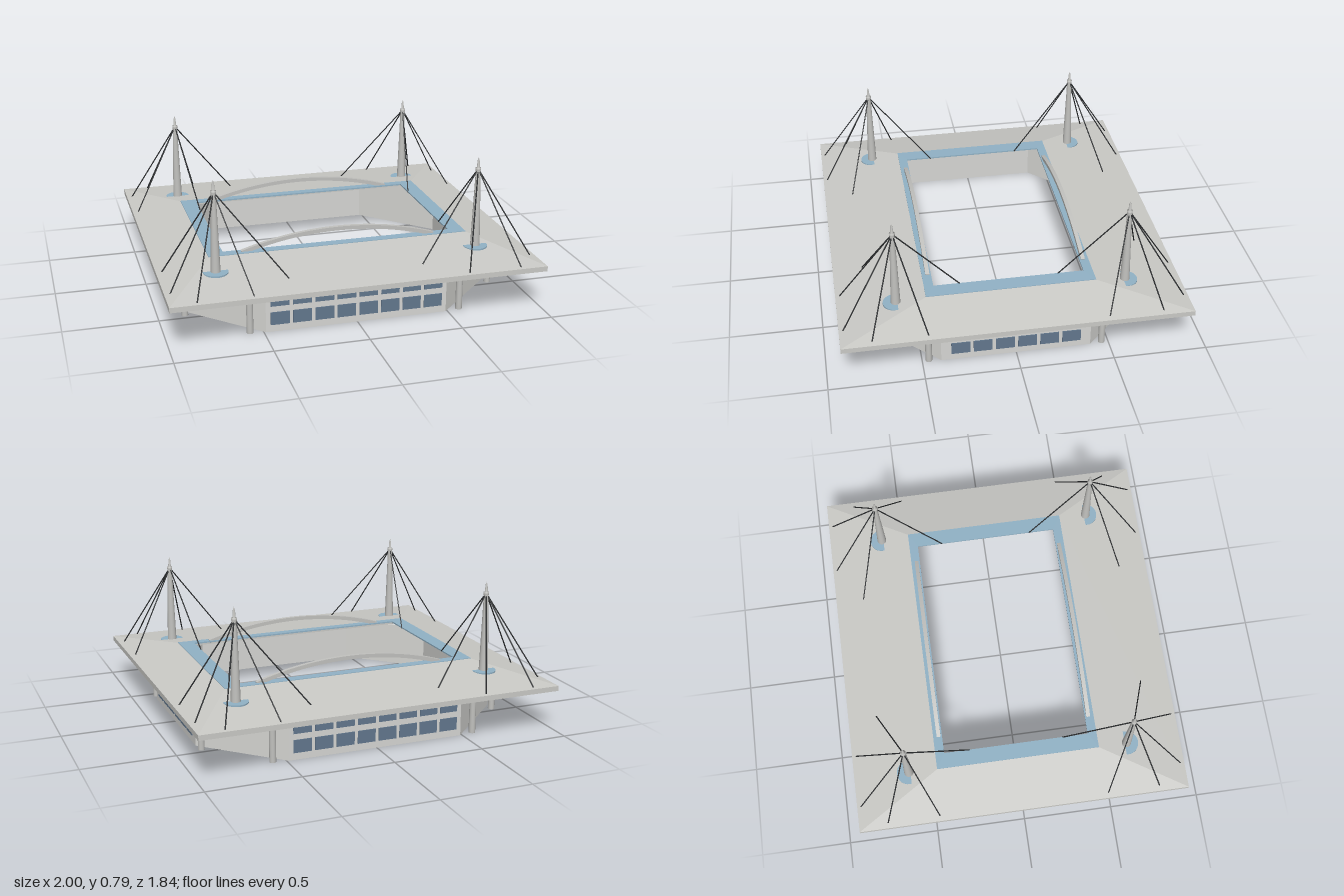
import * as THREE from 'three';

const paint = (name, color) => {
  const m = new THREE.MeshStandardMaterial({ color });
  m.name = name;
  return m;
};

// Lofts a closed cross-section around an outline; each section is [outline, y]
function ringLoft(sections) {
  const pos = [];
  const n = sections[0][0].length;
  for (let s = 0; s < sections.length; s++) {
    const [lo, y0] = sections[s];
    const [hi, y1] = sections[(s + 1) % sections.length];
    for (let c = 0; c < n; c++) {
      const d = (c + 1) % n;
      const p = [[lo[c], y0], [lo[d], y0], [hi[d], y1], [hi[c], y1]];
      for (const i of [0, 1, 2, 0, 2, 3]) pos.push(p[i][0][0], p[i][1], p[i][0][1]);
    }
  }
  const g = new THREE.BufferGeometry();
  g.setAttribute('position', new THREE.Float32BufferAttribute(pos, 3));
  g.computeVertexNormals();
  return g;
}

const rect = (x, z) => [[x, z], [x, -z], [-x, -z], [-x, z]];

// Rectangle with cut corners
const octagon = (x, z, cx, cz) => [
  [x, cz], [x, -cz], [cx, -z], [-cx, -z], [-x, -cz], [-x, cz], [-cx, z], [cx, z],
];

export function createModel() {
  const roofMat = paint('roof grey', 0xcacac6);
  const wallMat = paint('wall grey', 0xd6d6d3);
  const steelMat = paint('steel grey', 0xc2c2bf);
  const glassMat = paint('pale blue glass', 0x91b2c6);
  const windowMat = paint('window blue', 0x62778d);
  const cableMat = paint('cable black', 0x2e3032);

  const model = new THREE.Group();
  model.name = 'stadium';
  const add = (name, geometry, material, parent = model) => {
    const mesh = new THREE.Mesh(geometry, material);
    mesh.name = name;
    parent.add(mesh);
    return mesh;
  };

  // Sloping hipped roof shell with a glazed strip around the opening
  const eave = rect(1, 0.92), ridge = rect(0.72, 0.455), opening = rect(0.635, 0.405);
  add('roof', ringLoft([[eave, 0.23], [eave, 0.258], [ridge, 0.311], [ridge, 0.283]]), roofMat);
  add('roofGlazing', ringLoft([[ridge, 0.306], [ridge, 0.314], [opening, 0.315], [opening, 0.307]]), glassMat);

  // Thin outer wall
  const outer = octagon(0.87, 0.78, 0.49, 0.4);
  const inner = octagon(0.852, 0.762, 0.483, 0.393);
  add('wall', ringLoft([[outer, 0], [outer, 0.25], [inner, 0.25], [inner, 0]]), wallMat);

  // Two rows of windows on each of the four long sides
  const sides = [
    { angle: 0, dist: 0.78, count: 8 },
    { angle: Math.PI / 2, dist: 0.87, count: 6 },
    { angle: Math.PI, dist: 0.78, count: 8 },
    { angle: -Math.PI / 2, dist: 0.87, count: 6 },
  ];
  for (const { angle, dist, count } of sides) {
    const side = new THREE.Group();
    side.name = 'windows';
    side.rotation.y = angle;
    model.add(side);
    for (let i = 0; i < count; i++) {
      for (const [y, h] of [[0.168, 0.054], [0.073, 0.07]]) {
        add('window', new THREE.BoxGeometry(0.1, h, 0.006), windowMat, side)
          .position.set((i - (count - 1) / 2) * 0.1185, y, dist + 0.001);
      }
    }
  }

  // Curved trusses along the long edges of the opening
  const span = 0.54, rise = 0.085, crown = 0.404;
  const R = (span * span + rise * rise) / (2 * rise);
  const half = Math.asin(span / R);
  const arc = new THREE.Shape();
  arc.absarc(0, crown - R, R, Math.PI / 2 - half, Math.PI / 2 + half, false);
  arc.absarc(0, crown - R, R - 0.021, Math.PI / 2 + half, Math.PI / 2 - half, true);
  arc.closePath();
  for (const s of [-1, 1]) {
    const g = new THREE.ExtrudeGeometry(arc, { depth: 0.022, bevelEnabled: false, curveSegments: 24 });
    g.translate(0, 0, s * 0.424 - 0.011);
    add('archTruss', g, steelMat);
  }

  // Tapered mast with a pointed tip
  const mastProfile = [[0, 0.205], [0.026, 0.205], [0.026, 0.29], [0.013, 0.715], [0.015, 0.72],
    [0.015, 0.732], [0.008, 0.734], [0.006, 0.77], [0, 0.79]].map(([r, y]) => new THREE.Vector2(r, y));
  const cableEnds = [
    [0.86, 0.255, 0.9], [0.57, 0.255, 0.9], [0.972, 0.258, 0.76],
    [0.972, 0.258, 0.47], [0.36, 0.276, 0.76], [0.635, 0.308, 0.26],
  ];
  const up = new THREE.Vector3(0, 1, 0);

  for (const sx of [-1, 1]) {
    for (const sz of [-1, 1]) {
      const corner = new THREE.Group();
      corner.name = 'cornerSupport';
      model.add(corner);
      const mx = sx * 0.712, mz = sz * 0.613;

      add('mast', new THREE.LatheGeometry(mastProfile, 16), steelMat, corner).position.set(mx, 0, mz);
      add('mastCollar', new THREE.CylinderGeometry(0.067, 0.067, 0.02, 24), glassMat, corner)
        .position.set(mx, 0.284, mz);

      // Stay cables from the mast head to the roof
      const head = new THREE.Vector3(mx, 0.725, mz);
      for (const [x, y, z] of cableEnds) {
        const dir = new THREE.Vector3(sx * x, y, sz * z).sub(head);
        const cable = add('cable', new THREE.CylinderGeometry(0.0035, 0.0035, dir.length(), 6), cableMat, corner);
        cable.position.copy(head).addScaledVector(dir, 0.5);
        cable.quaternion.setFromUnitVectors(up, dir.normalize());
      }

      // Two columns carrying a cross beam under the mast
      for (const [x, z] of [[0.57, 0.763], [0.857, 0.464]]) {
        add('column', new THREE.CylinderGeometry(0.018, 0.018, 0.245, 12), steelMat, corner)
          .position.set(sx * x, 0.1225, sz * z);
      }
      const beam = add('crossBeam', new THREE.BoxGeometry(0.42, 0.018, 0.026), steelMat, corner);
      beam.position.set(mx, 0.212, mz);
      beam.rotation.y = sx * sz * Math.PI / 4;
    }
  }
  return model;
}
